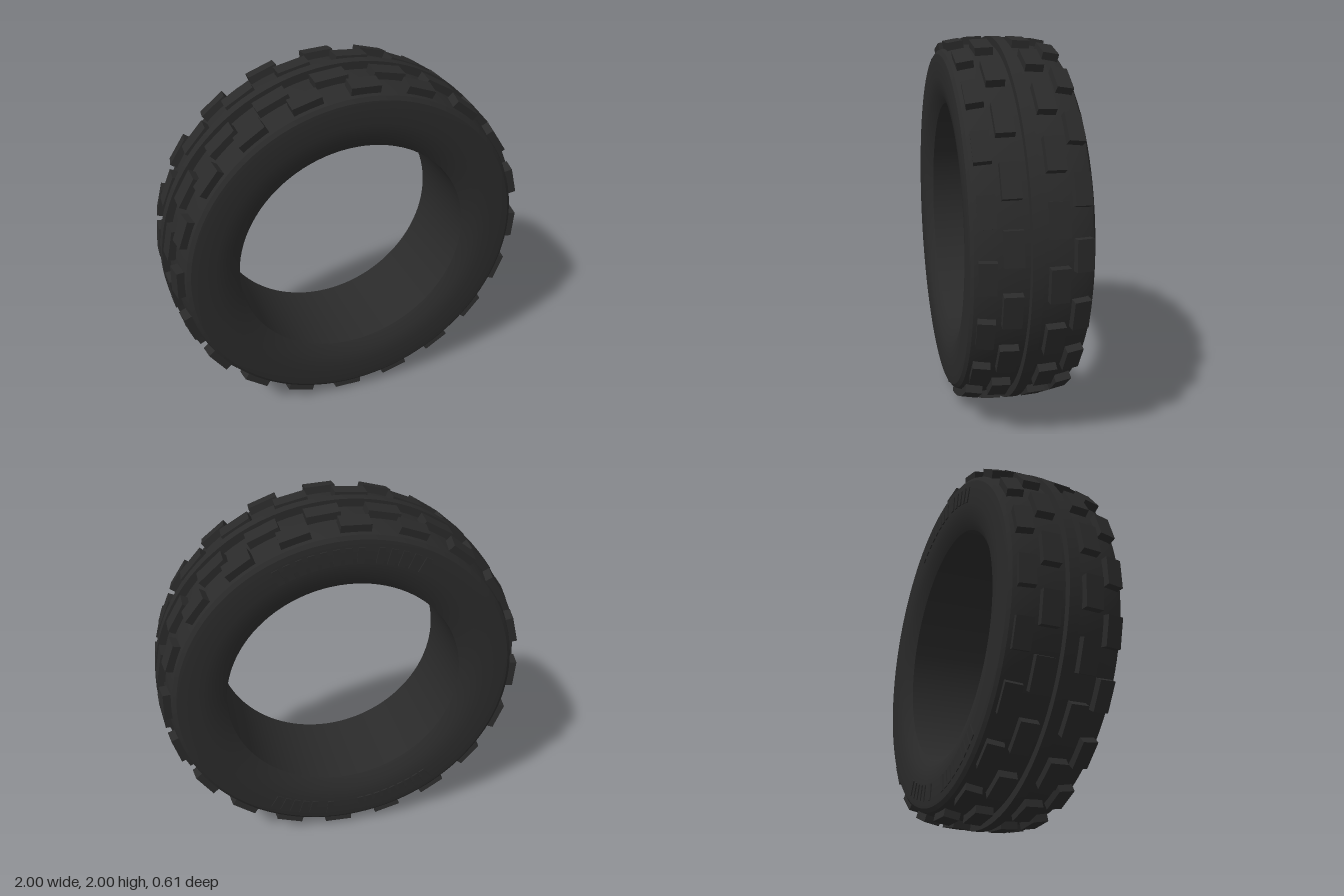
import * as THREE from 'three';
import { toCreasedNormals } from 'three/addons/utils/BufferGeometryUtils.js';

const DEG = Math.PI / 180;

export function createModel() {
  const model = new THREE.Group();
  const rubber = new THREE.MeshStandardMaterial({ color: 0x2a2a2a });
  rubber.name = 'black rubber';

  // Everything turns about the wheel axis, which lies along z at y = 1
  const tyre = new THREE.Group();
  tyre.name = 'tyre';
  tyre.position.y = 1;
  model.add(tyre);

  // Ring from a closed [radius, z] profile, running counter-clockwise
  function ring(name, profile) {
    const points = [...profile, profile[0]].map(([r, z]) => new THREE.Vector2(r, z));
    const geometry = toCreasedNormals(new THREE.LatheGeometry(points, 96).rotateX(Math.PI / 2), 0.45);
    const mesh = new THREE.Mesh(geometry, rubber);
    mesh.name = name;
    tyre.add(mesh);
  }

  // Small box placed by angle and radius, leaning over by tilt across the tread
  function block(name, geometry, angle, radius, z, tilt = 0) {
    const spoke = new THREE.Group();
    spoke.name = name;
    spoke.rotation.z = (angle - 90) * DEG;
    const mesh = new THREE.Mesh(geometry, rubber);
    mesh.name = name + 'Box';
    mesh.position.set(0, radius, z);
    mesh.rotation.x = tilt;
    spoke.add(mesh);
    tyre.add(spoke);
  }

  // Carcass: tread, rounded shoulders, sidewalls, bevelled bead and inner wall
  const half = [[0.957, 0.08], [0.952, 0.17], [0.937, 0.25], [0.925, 0.283], [0.905, 0.297],
    [0.87, 0.301], [0.78, 0.299], [0.70, 0.288], [0.642, 0.25]];
  const mirrored = half.map(([r, z]) => [r, -z]).reverse();
  ring('carcass', [...mirrored, ...half]);

  // Continuous rib round the middle of the tread
  ring('centreRib', [[0.94, -0.027], [0.998, -0.027], [0.998, 0.027], [0.94, 0.027]]);

  // Four staggered rows of tread blocks, the back rows mirroring the front ones
  const count = 20;
  const innerBlock = new THREE.BoxGeometry(0.17, 0.06, 0.094);
  const outerBlock = new THREE.BoxGeometry(0.155, 0.06, 0.086);
  for (const side of [1, -1]) {
    for (let i = 0; i < count; i++) {
      const angle = (i * 360) / count;
      block('innerTreadBlock', innerBlock, angle + side * 5.5, 0.962, side * 0.108, side * 0.05);
      block('outerTreadBlock', outerBlock, angle - side * 2.5, 0.948, side * 0.224, side * 0.18);
    }
  }

  // Groups of plain raised ribs on the back sidewall: [start, end, number]
  const sidewallRib = new THREE.BoxGeometry(0.035, 0.085, 0.012);
  for (const [start, end, n] of [[65, 94, 8], [101, 118, 5], [-76, -60, 5], [-83, -83, 1], [-125, -96, 9]]) {
    for (let i = 0; i < n; i++) {
      const angle = start + ((end - start) * i) / Math.max(n - 1, 1);
      block('sidewallRib', sidewallRib, angle, 0.825, -0.3);
    }
  }

  return model;
}
